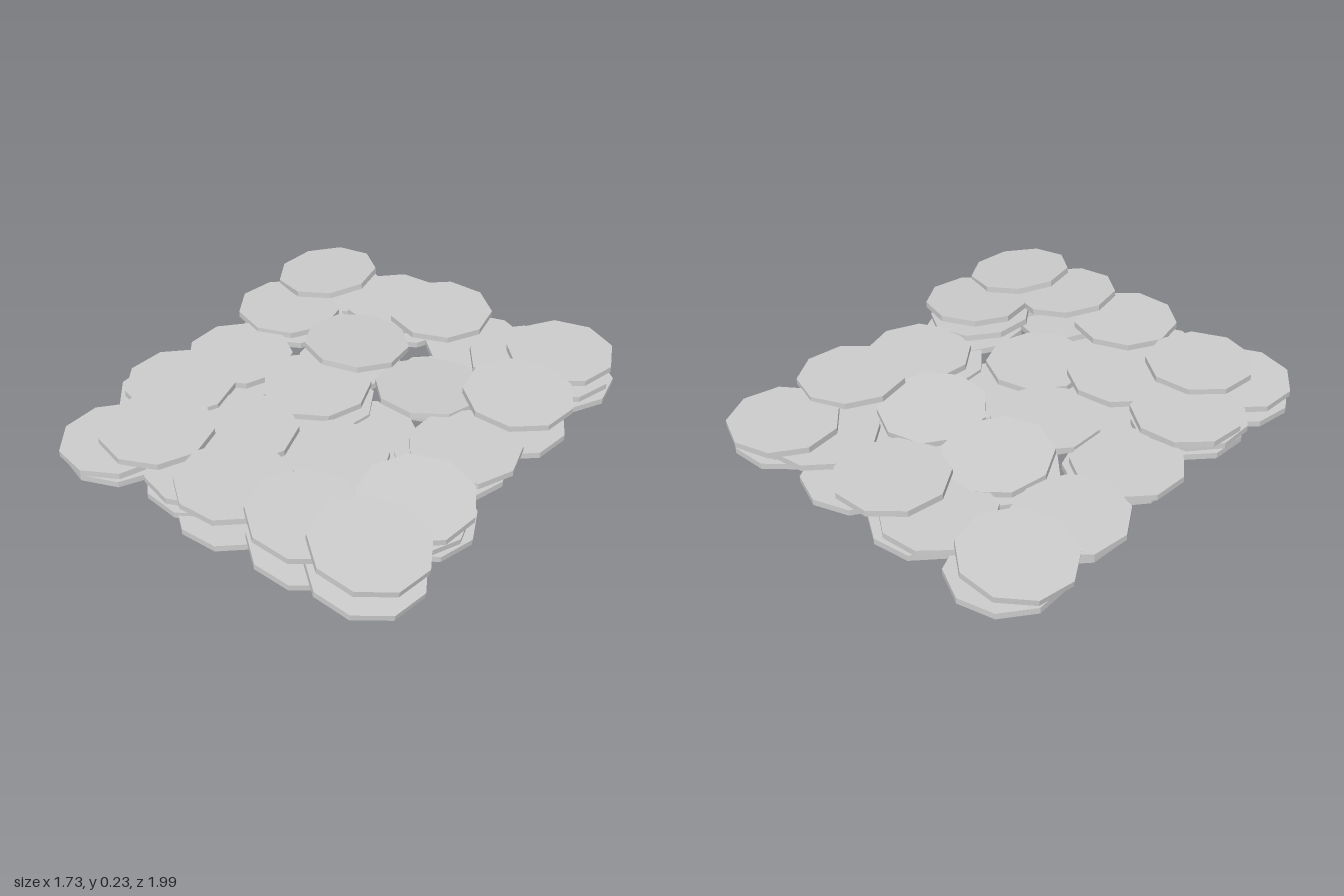
import * as THREE from 'three';

const RADIUS = 0.235;
const THICKNESS = 0.027;
const FLIP = Math.PI;

// Each disc: x, y, z of its centre, turn about its axis, tilt about x, tilt about z
const LOWER = [
  // back row
  [-0.60, 0.040, -0.76, 0.20, 0, 0],
  [-0.18, 0.045, -0.74, 0.10, 0, 0],
  [0.21, 0.045, -0.73, 0.30, 0, 0],
  [0.63, 0.045, -0.73, 0.00, 0, 0],
  // second row
  [-0.60, 0.055, -0.42, 0.10, 0, 0],
  [-0.20, 0.035, -0.32, 0.25, 0, 0.03],
  [0.24, 0.040, -0.36, 0.05, 0, -0.03],
  [0.61, 0.040, -0.34, FLIP, 0, 0],
  // middle row
  [-0.54, 0.035, 0.00, 0.15, 0, 0],
  [-0.12, 0.055, 0.02, 0.30, 0, 0],
  [0.16, 0.040, 0.10, 0.00, 0, 0],
  [0.55, 0.055, 0.04, 0.20, 0, 0],
  // fourth row
  [-0.60, 0.070, 0.38, 0.10, 0, 0],
  [-0.26, 0.035, 0.34, 0.30, 0, 0],
  [0.12, 0.035, 0.42, 0.15, 0, 0],
  [0.61, 0.050, 0.38, 0.25, -0.03, -0.08],
  // front row
  [-0.61, 0.045, 0.73, 0.00, 0, 0],
  [-0.20, 0.055, 0.69, 0.20, 0, 0],
  [0.00, 0.040, 0.74, FLIP, 0, 0],
  [0.35, 0.050, 0.74, FLIP, 0, -0.10],
  [0.62, 0.067, 0.74, FLIP, 0, -0.14],
];

const MIDDLE = [
  [-0.60, 0.105, 0.757, 0.10, 0, 0.03],
  [-0.61, 0.110, 0.40, 0.15, 0, 0],
  [0.46, 0.105, -0.69, 0.10, 0, 0],
  [0.60, 0.110, 0.42, 0.10, 0, -0.10],
  [-0.21, 0.100, 0.68, 0.05, 0, 0],
  [0.62, 0.100, -0.72, 0.20, 0, 0],
];

const UPPER = [
  // back row
  [-0.635, 0.125, -0.74, 0.00, 0, 0.12],
  [-0.24, 0.100, -0.74, 0.05, 0, 0],
  [0.005, 0.150, -0.74, 0.00, 0, 0],
  [0.605, 0.145, -0.77, 0.25, 0, 0],
  // second row
  [-0.625, 0.095, -0.42, 0.00, -0.04, 0],
  [-0.19, 0.120, -0.35, -0.08, -0.09, 0],
  [0.245, 0.105, -0.27, 0.22, -0.08, 0.04],
  [0.615, 0.165, -0.38, FLIP, 0, -0.03],
  // middle row
  [-0.585, 0.085, -0.01, 0.10, 0, 0],
  [-0.16, 0.100, -0.01, 0.15, 0, 0],
  [0.58, 0.110, -0.01, 0.08, 0, 0],
  // fourth row
  [-0.605, 0.145, 0.36, 0.05, 0, 0],
  [-0.215, 0.125, 0.43, 0.10, 0, 0],
  [0.16, 0.080, 0.32, 0.20, 0, 0],
  [0.625, 0.175, 0.42, FLIP, 0.05, -0.05],
  // front row
  [-0.455, 0.170, 0.67, 0.05, 0, 0],
  [0.00, 0.172, 0.74, FLIP, 0, 0],
  [0.35, 0.185, 0.74, FLIP, 0, -0.10],
  [0.635, 0.195, 0.74, FLIP, 0, -0.14],
];

export function createModel() {
  const group = new THREE.Group();
  group.name = 'discPile';

  const grey = new THREE.MeshStandardMaterial({ color: 0xcccccc, flatShading: true });
  grey.name = 'light grey';
  const disc = new THREE.CylinderGeometry(RADIUS, RADIUS, THICKNESS, 9);

  const addLayer = (name, discs) => {
    const layer = new THREE.Group();
    layer.name = name;
    discs.forEach(([x, y, z, turn, tiltX, tiltZ], i) => {
      const mesh = new THREE.Mesh(disc, grey);
      mesh.name = `${name}Disc${i + 1}`;
      mesh.position.set(x, y, z);
      mesh.rotation.set(tiltX, turn, tiltZ, 'XZY'); // turn first, then lean
      layer.add(mesh);
    });
    group.add(layer);
  };

  addLayer('lower', LOWER);
  addLayer('middle', MIDDLE);
  addLayer('upper', UPPER);
  return group;
}
